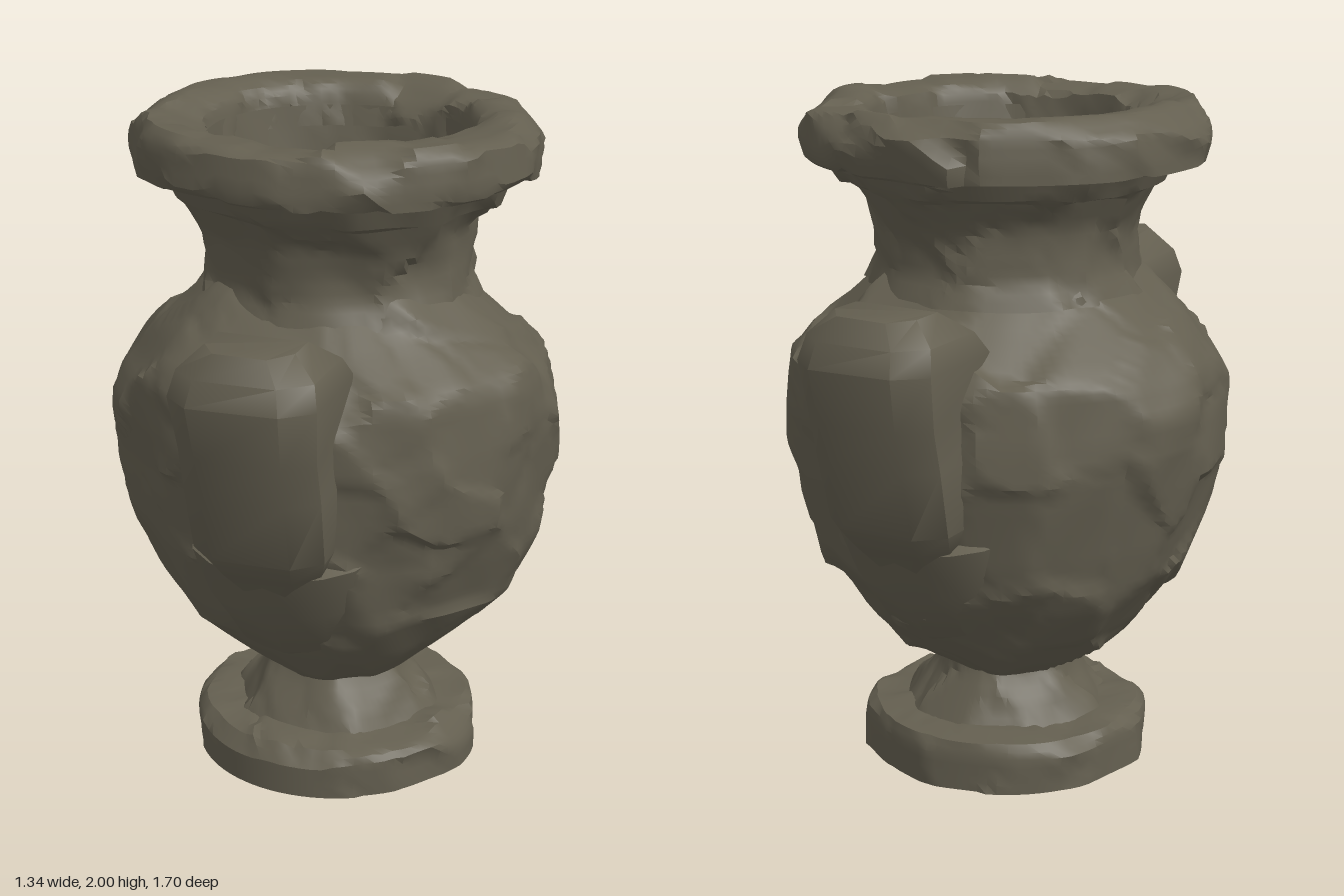
import * as THREE from 'three';
import { toCreasedNormals } from 'three/addons/utils/BufferGeometryUtils.js';

const V = (x, y, z) => new THREE.Vector3(x, y, z);

function seeded(seed) {
  return () => {
    seed = (seed * 16807) % 2147483647;
    return seed / 2147483647;
  };
}

// Smooth bumps that depend only on position, so joined corners stay joined
const bump = (p) =>
  Math.sin(p.x * 13 + p.y * 7) * Math.sin(p.z * 11 - p.y * 9 + 1) + 0.6 * Math.sin(p.x * 23 - p.z * 19 + p.y * 17);

// Resample a profile of [radius, height] into short even steps
function resample(profile, step) {
  const out = [];
  for (let i = 0; i < profile.length - 1; i++) {
    const [r0, y0] = profile[i], [r1, y1] = profile[i + 1];
    const n = Math.max(1, Math.round(Math.hypot(r1 - r0, y1 - y0) / step));
    for (let k = 0; k < n; k++) out.push(new THREE.Vector2(r0 + (r1 - r0) * k / n, y0 + (y1 - y0) * k / n));
  }
  out.push(new THREE.Vector2(...profile[profile.length - 1]));
  return out;
}

// Turned shape chiselled into flat stone chunks with softened cracks between them
function stoneTurned(profile, chunks, depth, seed, step = 0.03, segments = 84) {
  const rand = seeded(seed), pts = resample(profile, step);
  const total = pts.reduce((s, p) => s + p.x, 0);
  const seeds = [];
  for (let i = 0; i < chunks; i++) {
    let pick = rand() * total, k = 0;
    while (k < pts.length - 2 && (pick -= pts[k].x) > 0) k++;
    const a = (i * 0.618034 + rand() * 0.15) * Math.PI * 2;
    const t = pts[k + 1].clone().sub(pts[k]).normalize();
    seeds.push({
      p: V(Math.sin(a) * pts[k].x, pts[k].y, Math.cos(a) * pts[k].x),
      n: V(Math.sin(a) * t.y, -t.x, Math.cos(a) * t.y),
      off: (rand() - 0.85) * depth,
    });
  }
  const geo = new THREE.LatheGeometry(pts, segments);
  const pos = geo.attributes.position, p = V(), q = V();
  const shift = (s) => s.n.clone().multiplyScalar(
    THREE.MathUtils.clamp(-0.75 * p.clone().sub(s.p).dot(s.n) + s.off, -depth, depth) + bump(p) * 0.003);
  for (let i = 0; i < pos.count; i++) {
    p.fromBufferAttribute(pos, i);
    // wobble the lookup so the chunk borders are not straight
    q.set(p.x + 0.03 * Math.sin(p.y * 21), p.y + 0.03 * Math.sin(p.x * 17 + p.z * 13), p.z + 0.03 * Math.sin(p.y * 19 + 2));
    let near = null, next = null, d1 = 9, d2 = 9;
    for (const s of seeds) {
      const d = q.distanceTo(s.p);
      if (d < d1) { d2 = d1; next = near; d1 = d; near = s; } else if (d < d2) { d2 = d; next = s; }
    }
    const blend = 0.5 - 0.5 * Math.min(1, (d2 - d1) / 0.035);
    const move = shift(near).lerp(shift(next), blend).addScaledVector(near.n, -0.014 * blend);
    if (Math.hypot(p.x, p.z) > 0.02) p.add(move);
    if (pos.getY(i) < 0.001) p.y = 0;
    pos.setXYZ(i, p.x, THREE.MathUtils.clamp(p.y, 0, 2), p.z);
  }
  return toCreasedNormals(geo, 0.5);
}

// Heavy lug lofted through chamfered sections: [height, half width, inner z, outer z]
function lugGeometry(rows) {
  const verts = [], index = [], p = V();
  for (const [y, w, zi, zo] of rows) {
    for (const [x, z] of [[w, zi], [w, zo - 0.07], [w * 0.6, zo], [-w * 0.6, zo], [-w, zo - 0.07], [-w, zi]]) {
      const b = bump(p.set(x, y, z)) * 0.007;
      verts.push(x + b, y + b * 0.6, Math.min(z + b, 0.85));
    }
  }
  for (let j = 0; j < rows.length - 1; j++) {
    for (let k = 0; k < 6; k++) {
      const a = j * 6 + k, b = j * 6 + (k + 1) % 6;
      index.push(a, a + 6, b, b, a + 6, b + 6);
    }
  }
  const top = (rows.length - 1) * 6;
  for (let k = 1; k < 5; k++) index.push(top, top + k + 1, top + k);
  const geo = new THREE.BufferGeometry();
  geo.setAttribute('position', new THREE.Float32BufferAttribute(verts, 3));
  geo.setIndex(index);
  return toCreasedNormals(geo, 0.8);
}

// Raised slab on the belly, highest in the middle and sinking into the wall at its ends
function slabGeometry() {
  const profile = [[0.41, 0.46], [0.47, 0.49], [0.575, 0.64], [0.645, 0.79], [0.56, 0.83]];
  const geo = new THREE.LatheGeometry(profile.map((c) => new THREE.Vector2(...c)), 8, -0.55, 1.1);
  const pos = geo.attributes.position, p = V();
  for (let i = 0; i < pos.count; i++) {
    p.fromBufferAttribute(pos, i);
    const side = Math.abs(Math.floor(i / profile.length) - 4) / 4;
    const s = 1 - 0.16 * side ** 3 + bump(p) * 0.006;
    pos.setXYZ(i, p.x * s, p.y + 0.04 * side, p.z * s);
  }
  return toCreasedNormals(geo, 0.6);
}

export function createModel() {
  const group = new THREE.Group();
  const stone = new THREE.MeshStandardMaterial({ color: 0x645f50 });
  stone.name = 'weathered stone';
  const add = (name, geo, parent = group) => {
    const mesh = new THREE.Mesh(geo, stone);
    mesh.name = name;
    parent.add(mesh);
    return mesh;
  };

  // Foot: flat plinth and a short flared stem
  add('foot', stoneTurned([[0, 0], [0.43, 0], [0.43, 0.11], [0.39, 0.15], [0.29, 0.16], [0.15, 0.16]], 34, 0.018, 11));
  add('stem', stoneTurned([[0.32, 0.12], [0.285, 0.18], [0.215, 0.28], [0.2, 0.34]], 16, 0.014, 23));

  // Round belly up to the shoulder, a little narrower from front to back
  const body = add('body', stoneTurned([
    [0, 0.31], [0.2, 0.31], [0.32, 0.355], [0.435, 0.46], [0.535, 0.6], [0.6, 0.76], [0.64, 0.94], [0.655, 1.12],
    [0.64, 1.26], [0.585, 1.33], [0.49, 1.405], [0.41, 1.48], [0.36, 1.52],
  ], 85, 0.024, 37, 0.024, 120));
  body.scale.z = 0.96;

  // Waisted neck with a thin collar under the rim
  add('neck', stoneTurned([
    [0.42, 1.45], [0.39, 1.52], [0.385, 1.6], [0.405, 1.68], [0.445, 1.755], [0.485, 1.765], [0.52, 1.84],
  ], 24, 0.014, 53));

  // Broad rim, slightly wider than deep, and the deep rounded hollow inside
  const rim = add('rim', stoneTurned([
    [0.46, 1.82], [0.565, 1.83], [0.58, 1.88], [0.57, 1.95], [0.52, 1.99], [0.44, 1.985], [0.375, 1.95], [0.355, 1.86],
  ], 40, 0.02, 71, 0.024, 100));
  rim.scale.x = 1.03;
  add('hollow', stoneTurned([
    [0.37, 1.92], [0.345, 1.75], [0.315, 1.5], [0.29, 1.3], [0.25, 1.12], [0.15, 1.02], [0, 0.98],
  ], 24, 0.01, 97, 0.04, 60));

  // Lug handles at the front and back, each above a sloping slab
  const lug = lugGeometry([
    [0.7, 0.06, 0.45, 0.58], [0.81, 0.16, 0.45, 0.67], [0.88, 0.19, 0.45, 0.73], [1.08, 0.2, 0.45, 0.785],
    [1.2, 0.2, 0.45, 0.815], [1.36, 0.21, 0.46, 0.845], [1.43, 0.195, 0.52, 0.82], [1.495, 0.13, 0.6, 0.78],
  ]);
  const slab = slabGeometry();
  for (const side of [0, 1]) {
    const handle = new THREE.Group();
    handle.name = side ? 'backHandle' : 'frontHandle';
    handle.rotation.y = side * Math.PI;
    add('lug', lug, handle);
    add('slab', slab, handle);
    group.add(handle);
  }
  return group;
}
